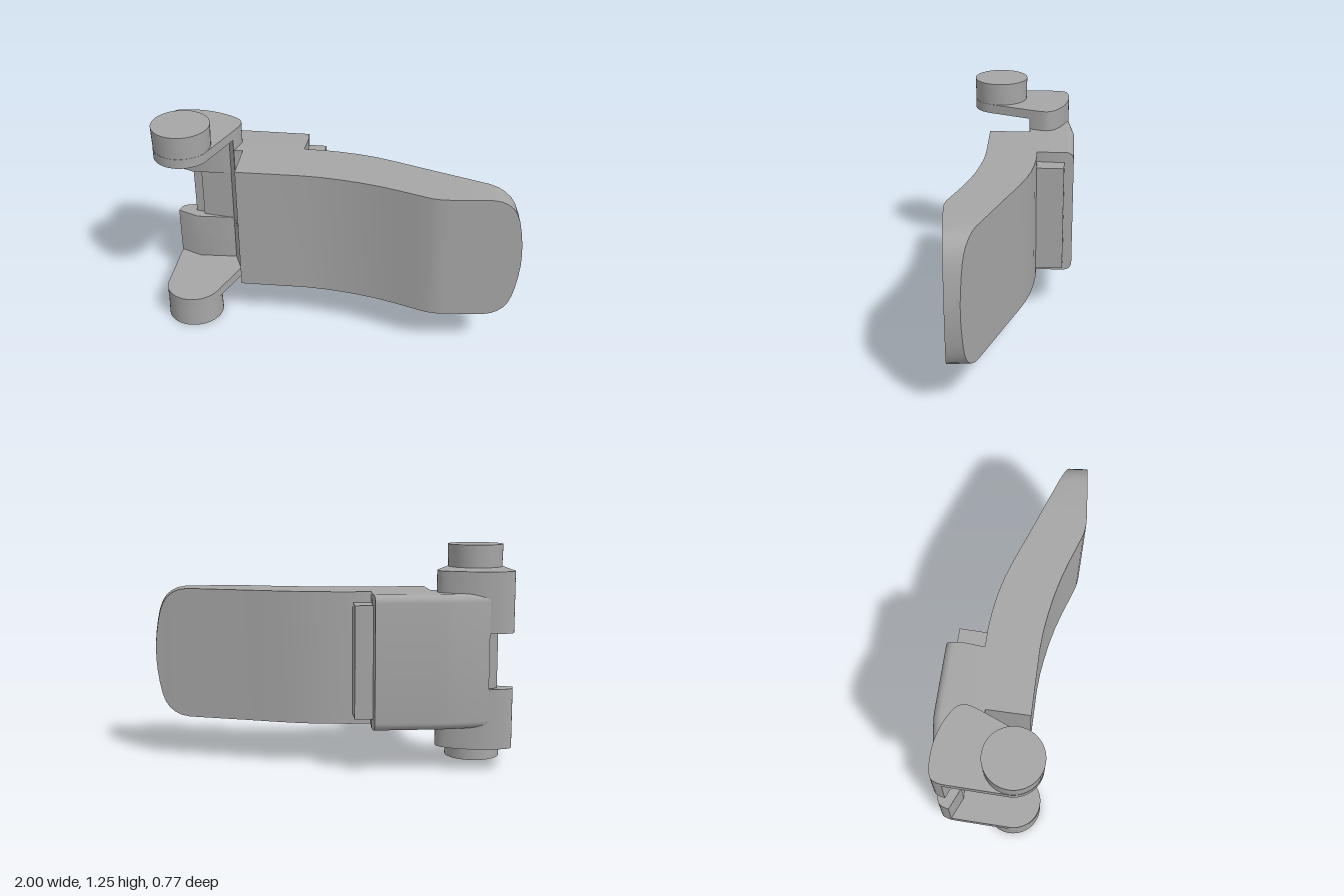
import * as THREE from 'three';
import { toCreasedNormals } from 'three/addons/utils/BufferGeometryUtils.js';

const HEIGHT = 1.25, MID = 0.625;
const grey = new THREE.MeshStandardMaterial({ color: 0xa6a6a6 });
grey.name = 'plain grey';

function part(geometry, name, parent) {
  const mesh = new THREE.Mesh(geometry, grey);
  mesh.name = name;
  parent.add(mesh);
  return mesh;
}

// Plan outline of [x, z] points raised from y0 to y1
function slab(points, y0, y1) {
  const shape = new THREE.Shape(points.map(([x, z]) => new THREE.Vector2(x, -z)));
  const geo = new THREE.ExtrudeGeometry(shape, { depth: y1 - y0, bevelEnabled: false });
  geo.rotateX(-Math.PI / 2).translate(0, y0, 0);
  return toCreasedNormals(geo, 0.6);
}

// Closed skin over convex loops of Vector3, ordered along +x
function loft(loops) {
  const pos = [];
  const tri = (...v) => v.forEach((p) => pos.push(p.x, p.y, p.z));
  const n = loops[0].length;
  for (let s = 0; s < loops.length - 1; s++) {
    const a = loops[s], b = loops[s + 1];
    for (let i = 0; i < n; i++) {
      const j = (i + 1) % n;
      tri(a[i], a[j], b[j]);
      tri(a[i], b[j], b[i]);
    }
  }
  const first = loops[0], last = loops[loops.length - 1];
  for (let i = 1; i < n - 1; i++) {
    tri(first[0], first[i + 1], first[i]);
    tri(last[0], last[i], last[i + 1]);
  }
  const geo = new THREE.BufferGeometry();
  geo.setAttribute('position', new THREE.Float32BufferAttribute(pos, 3));
  return toCreasedNormals(geo, 0.5);
}

// Cross-section in y and z, with the two rear corners rounded by r
function section(x, front, back, half, r = 0) {
  const loop = [new THREE.Vector3(x, MID - half, front)];
  const steps = r ? 6 : 0;
  for (const side of [-1, 1]) {
    for (let i = 0; i <= steps; i++) {
      const t = steps ? (i / steps) * Math.PI / 2 : 0;
      const a = side < 0 ? t : Math.PI / 2 - t;
      loop.push(new THREE.Vector3(x,
        MID + side * (half - r + r * Math.cos(a)),
        back + r - r * Math.sin(a)));
    }
  }
  loop.push(new THREE.Vector3(x, MID + half, front));
  return loop;
}

export function createModel() {
  const model = new THREE.Group();
  model.name = 'hingedPaddle';

  // Curved paddle: x, front z, back z, half height
  const paddle = [
    [-0.553, 0.12, 0.115, 0.375], [-0.53, 0.122, -0.12, 0.375], [-0.185, 0.152, -0.14, 0.375],
    [-0.08, 0.168, -0.13, 0.375], [0.02, 0.19, -0.112, 0.375], [0.12, 0.217, -0.088, 0.375],
    [0.22, 0.25, -0.055, 0.375], [0.32, 0.29, -0.012, 0.375], [0.42, 0.335, 0.035, 0.375],
    [0.5, 0.37, 0.073, 0.375], [0.55, 0.382, 0.096, 0.375], [0.6, 0.385, 0.119, 0.375],
    [0.82, 0.385, 0.221, 0.375], [0.865, 0.385, 0.242, 0.367], [0.9, 0.385, 0.258, 0.35],
    [0.93, 0.385, 0.272, 0.325], [0.952, 0.385, 0.283, 0.292], [0.97, 0.385, 0.291, 0.245],
    [0.983, 0.385, 0.297, 0.185], [0.994, 0.385, 0.302, 0.11], [1.0, 0.385, 0.305, 0.04],
  ];
  part(loft(paddle.map((s) => section(...s))), 'paddle', model);

  // Rear housing
  const housing = [
    [-0.8, -0.28, -0.38], [-0.62, -0.24, -0.388], [-0.58, -0.12, -0.39], [-0.55, -0.12, -0.389],
    [-0.5, -0.12, -0.384], [-0.185, -0.14, -0.352], [-0.165, -0.26, -0.35],
  ];
  part(loft(housing.map(([x, f, b]) => section(x, f, b, 0.375, 0.045))), 'housing', model);

  // Raised strip on the housing end
  part(slab([[-0.19, -0.13], [-0.083, -0.125], [-0.065, -0.285], [-0.18, -0.298]], 0.31, 0.94), 'strip', model);

  // Hinge tongue between the knuckles
  part(slab([[-0.85, -0.31], [-0.6, -0.24], [-0.6, -0.38], [-0.85, -0.365]], 0.475, 0.78), 'hingeTongue', model);

  // Rear curve shared by arms and knuckles
  const rear = new THREE.CatmullRomCurve3([
    [-0.6, -0.08], [-0.55, -0.185], [-0.542, -0.225], [-0.555, -0.262], [-0.62, -0.315],
    [-0.71, -0.357], [-0.8, -0.378], [-0.9, -0.38], [-0.935, -0.367], [-0.955, -0.33], [-0.962, -0.29],
  ].map(([x, z]) => new THREE.Vector3(x, 0, z))).getPoints(50).map((p) => [p.x, p.z]);

  const armOutline = [...rear];
  for (let i = 0; i <= 24; i++) {
    const a = Math.PI * 1.02 - (i / 24) * Math.PI * 0.89;
    armOutline.push([-0.84 + 0.158 * Math.cos(a), 0.04 + 0.158 * Math.sin(a)]);
  }
  const knuckleOutline = [
    ...rear.filter(([x, z]) => z < -0.12 && !(x < -0.9 && z > -0.325)),
    [-0.96, -0.315], [-0.84, -0.25], [-0.62, -0.24], [-0.582, -0.12],
  ];

  // Mirrored arms, knuckles and round ends
  for (const top of [true, false]) {
    const arm = new THREE.Group();
    arm.name = top ? 'upperArm' : 'lowerArm';
    const span = (y0, y1) => (top ? [y0, y1] : [HEIGHT - y1, HEIGHT - y0]);
    part(slab(armOutline, ...span(1.065, 1.12)), 'armPlate', arm);
    part(slab(knuckleOutline, ...span(0.78, 1.066)), 'knuckle', arm);
    const profile = top
      ? [[0, 0], [0.155, 0], [0.16, 0.185], [0, 0.185]]
      : [[0, 0.1], [0.03, 0.1], [0.03, 0], [0.16, 0], [0.155, 0.185], [0, 0.185]];
    const lathe = new THREE.LatheGeometry(profile.map(([r, y]) => new THREE.Vector2(r, y)), 48);
    const pivot = part(toCreasedNormals(lathe, 0.6), 'roundEnd', arm);
    pivot.position.set(-0.84, top ? 1.065 : 0, 0.04);
    model.add(arm);
  }
  return model;
}
